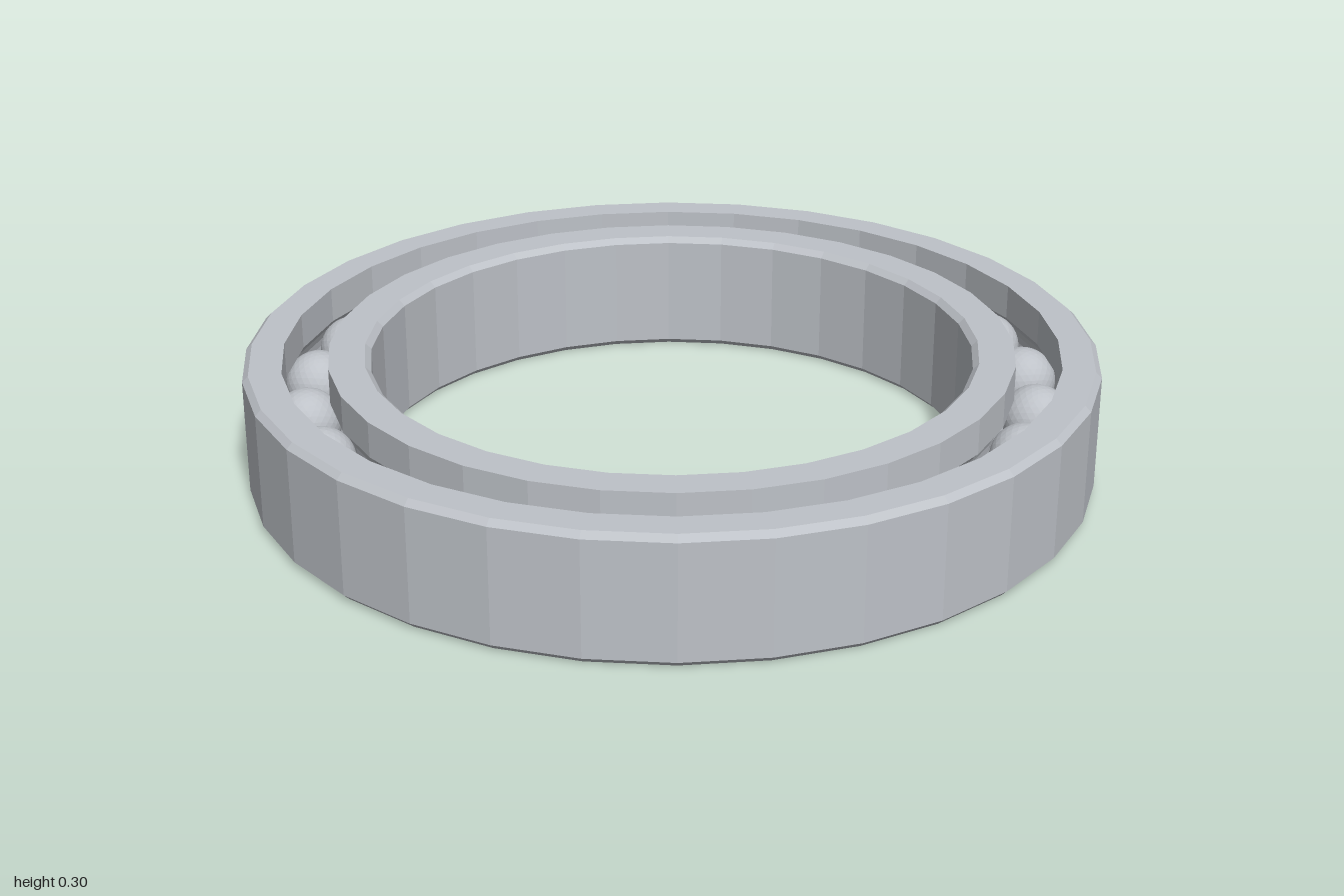
import * as THREE from 'three';

const HEIGHT = 0.3, MID = HEIGHT / 2, SEGMENTS = 32;
const PITCH = 0.857, BALL_RADIUS = 0.08, BALLS = 24;
const GROOVE = 0.084, CHAMFER = 0.014;

export function createModel() {
  const steel = new THREE.MeshStandardMaterial({ color: 0xbec2c8, flatShading: true });
  steel.name = 'steel';
  const model = new THREE.Group();
  model.name = 'ballBearing';

  // Arc of the ball groove where it cuts the wall at radius r, from top to bottom
  const groove = (r) => {
    const offset = r - PITCH, steps = 8;
    const half = Math.acos(Math.abs(offset) / GROOVE);
    return Array.from({ length: steps + 1 }, (_, i) => {
      const a = half * (1 - 2 * i / steps);
      return [PITCH + Math.sign(offset) * GROOVE * Math.cos(a), MID + GROOVE * Math.sin(a)];
    });
  };

  // Ring revolved from a closed counter-clockwise profile
  const addRing = (name, profile) => {
    const points = [...profile, profile[0]].map(([r, y]) => new THREE.Vector2(r, y));
    const ring = new THREE.Mesh(new THREE.LatheGeometry(points, SEGMENTS), steel);
    ring.name = name;
    model.add(ring);
  };

  // Outer ring: chamfered outside, grooved inside
  addRing('outerRing', [
    [1 - CHAMFER, 0], [1, CHAMFER], [1, HEIGHT - CHAMFER], [1 - CHAMFER, HEIGHT],
    [0.91, HEIGHT], ...groove(0.91), [0.91, 0],
  ]);

  // Inner ring: grooved outside, chamfered bore
  addRing('innerRing', [
    [0.804, 0], ...groove(0.804).reverse(), [0.804, HEIGHT],
    [0.706 + CHAMFER, HEIGHT], [0.706, HEIGHT - CHAMFER], [0.706, CHAMFER], [0.706 + CHAMFER, 0],
  ]);

  // Rolling balls
  const ballGeometry = new THREE.IcosahedronGeometry(BALL_RADIUS, 5);
  const balls = new THREE.Group();
  balls.name = 'balls';
  for (let i = 0; i < BALLS; i++) {
    const a = i * 2 * Math.PI / BALLS;
    const ball = new THREE.Mesh(ballGeometry, steel);
    ball.name = `ball${i + 1}`;
    ball.position.set(PITCH * Math.sin(a), MID, PITCH * Math.cos(a));
    ball.rotation.y = a;
    balls.add(ball);
  }
  model.add(balls);
  return model;
}
